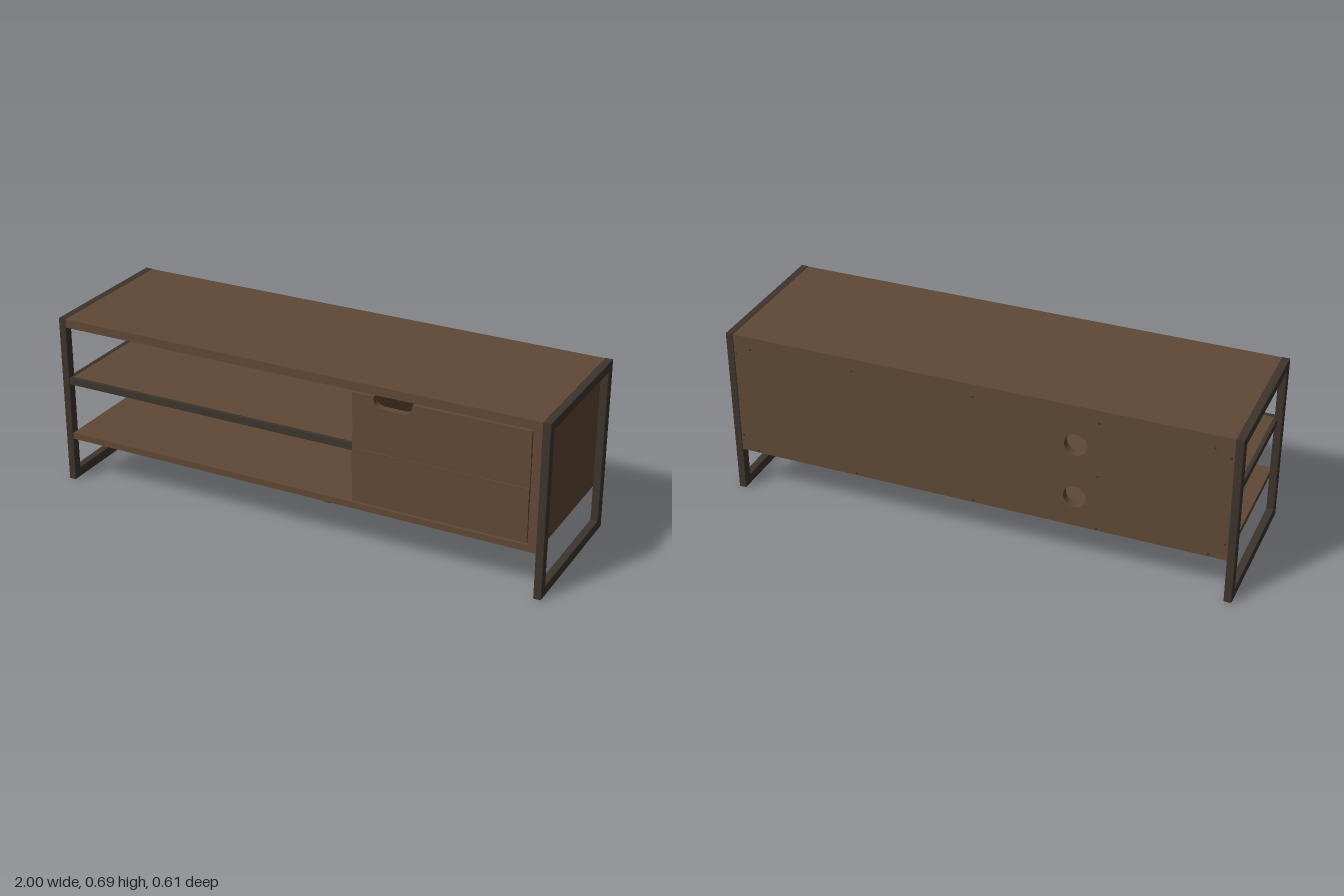
import * as THREE from 'three';

const wood = new THREE.MeshStandardMaterial({ name: 'walnut wood', color: 0x5f4835 });
const metal = new THREE.MeshStandardMaterial({ name: 'dark metal', color: 0x3c352c });

// Box given by its minimum and maximum along each axis
function box(name, mat, [x0, x1], [y0, y1], [z0, z1]) {
  const mesh = new THREE.Mesh(new THREE.BoxGeometry(x1 - x0, y1 - y0, z1 - z0), mat);
  mesh.name = name;
  mesh.position.set((x0 + x1) / 2, (y0 + y1) / 2, (z0 + z1) / 2);
  return mesh;
}

function rectangle(target, x0, x1, y0, y1) {
  target.moveTo(x0, y0);
  target.lineTo(x1, y0);
  target.lineTo(x1, y1);
  target.lineTo(x0, y1);
  target.closePath();
  return target;
}

// Rectangular end frame with softened edges
function endFrame(name, side) {
  const shape = rectangle(new THREE.Shape(), -0.304, 0.304, 0, 0.685);
  shape.holes.push(rectangle(new THREE.Path(), -0.268, 0.265, 0.04, 0.648));
  const bevel = 0.002;
  const geo = new THREE.ExtrudeGeometry(shape, {
    depth: 0.03 - 2 * bevel, bevelThickness: bevel, bevelSize: bevel, bevelOffset: -bevel, bevelSegments: 1,
  });
  geo.translate(0, 0, bevel);
  geo.rotateY(Math.PI / 2);
  const mesh = new THREE.Mesh(geo, metal);
  mesh.name = name;
  mesh.position.x = side > 0 ? 0.97 : -1;
  return mesh;
}

// Back board with two cable holes
function backPanel() {
  const shape = rectangle(new THREE.Shape(), -0.97, 0.97, 0.178, 0.65);
  for (const y of [0.523, 0.303]) {
    shape.holes.push(new THREE.Path().absarc(-0.395, y, 0.044, 0, Math.PI * 2, true));
  }
  const mesh = new THREE.Mesh(
    new THREE.ExtrudeGeometry(shape, { depth: 0.03, bevelEnabled: false, curveSegments: 32 }), wood);
  mesh.name = 'backPanel';
  mesh.position.z = -0.302;
  return mesh;
}

// Cabinet front made of four boards, the top one with a finger notch
function cabinetFront() {
  const group = new THREE.Group();
  group.name = 'cabinetFront';
  const [x0, x1] = [0.255, 0.935];
  const edges = [0.212, 0.321, 0.426, 0.535];
  for (let i = 0; i < 3; i++) {
    const z = i === 1 ? 0.306 : 0.303;
    group.add(box('frontBoard' + (i + 1), wood, [x0, x1], [edges[i], edges[i + 1] - 0.001], [0.28, z]));
  }
  const s = new THREE.Shape();
  s.moveTo(x0, 0.535);
  s.lineTo(x1, 0.535);
  s.lineTo(x1, 0.643);
  s.lineTo(0.49, 0.643);
  s.lineTo(0.487, 0.625);
  s.quadraticCurveTo(0.482, 0.603, 0.455, 0.602);
  s.lineTo(0.375, 0.602);
  s.quadraticCurveTo(0.345, 0.603, 0.341, 0.625);
  s.lineTo(0.338, 0.643);
  s.lineTo(x0, 0.643);
  const top = new THREE.Mesh(new THREE.ExtrudeGeometry(s, { depth: 0.026, bevelEnabled: false }), wood);
  top.name = 'notchedBoard';
  top.position.z = 0.28;
  group.add(top);
  return group;
}

// Screw heads along the back
function backScrews() {
  const group = new THREE.Group();
  group.name = 'backScrews';
  const spots = [[-0.48, 0.41], [0.96, 0.605], [0.96, 0.245], [-0.96, 0.605], [-0.96, 0.245]];
  for (const x of [-0.9, -0.48, 0, 0.48, 0.9]) spots.push([x, 0.632], [x, 0.188]);
  const geo = new THREE.CylinderGeometry(0.004, 0.004, 0.004, 12);
  geo.rotateX(Math.PI / 2);
  for (const [x, y] of spots) {
    const screw = new THREE.Mesh(geo, metal);
    screw.name = 'screw';
    screw.position.set(x, y, -0.303);
    group.add(screw);
  }
  return group;
}

export function createModel() {
  const model = new THREE.Group();
  model.name = 'mediaConsole';
  model.add(endFrame('leftFrame', 1), endFrame('rightFrame', -1));

  // Main boards
  model.add(
    box('topBoard', wood, [-0.97, 0.97], [0.65, 0.684], [-0.303, 0.303]),
    box('bottomBoard', wood, [-0.97, 0.97], [0.179, 0.204], [-0.272, 0.302]),
    backPanel(),
    backScrews(),
  );

  // Closed cabinet
  model.add(
    box('cabinetSide', wood, [0.937, 0.97], [0.204, 0.65], [-0.272, 0.3]),
    box('divider', wood, [0.257, 0.285], [0.204, 0.65], [-0.272, 0.279]),
    cabinetFront(),
  );

  // Middle shelf set between metal rails
  model.add(
    box('shelfBoard', wood, [-0.965, 0.257], [0.416, 0.438], [-0.272, 0.285]),
    box('shelfFrontRail', metal, [-0.97, 0.255], [0.412, 0.44], [0.285, 0.3]),
    box('shelfEndRail', metal, [-0.98, -0.965], [0.412, 0.44], [-0.272, 0.3]),
  );

  // Centre support
  model.add(box('centreLeg', metal, [-0.015, 0.015], [0, 0.179], [-0.018, 0.01]));
  return model;
}
